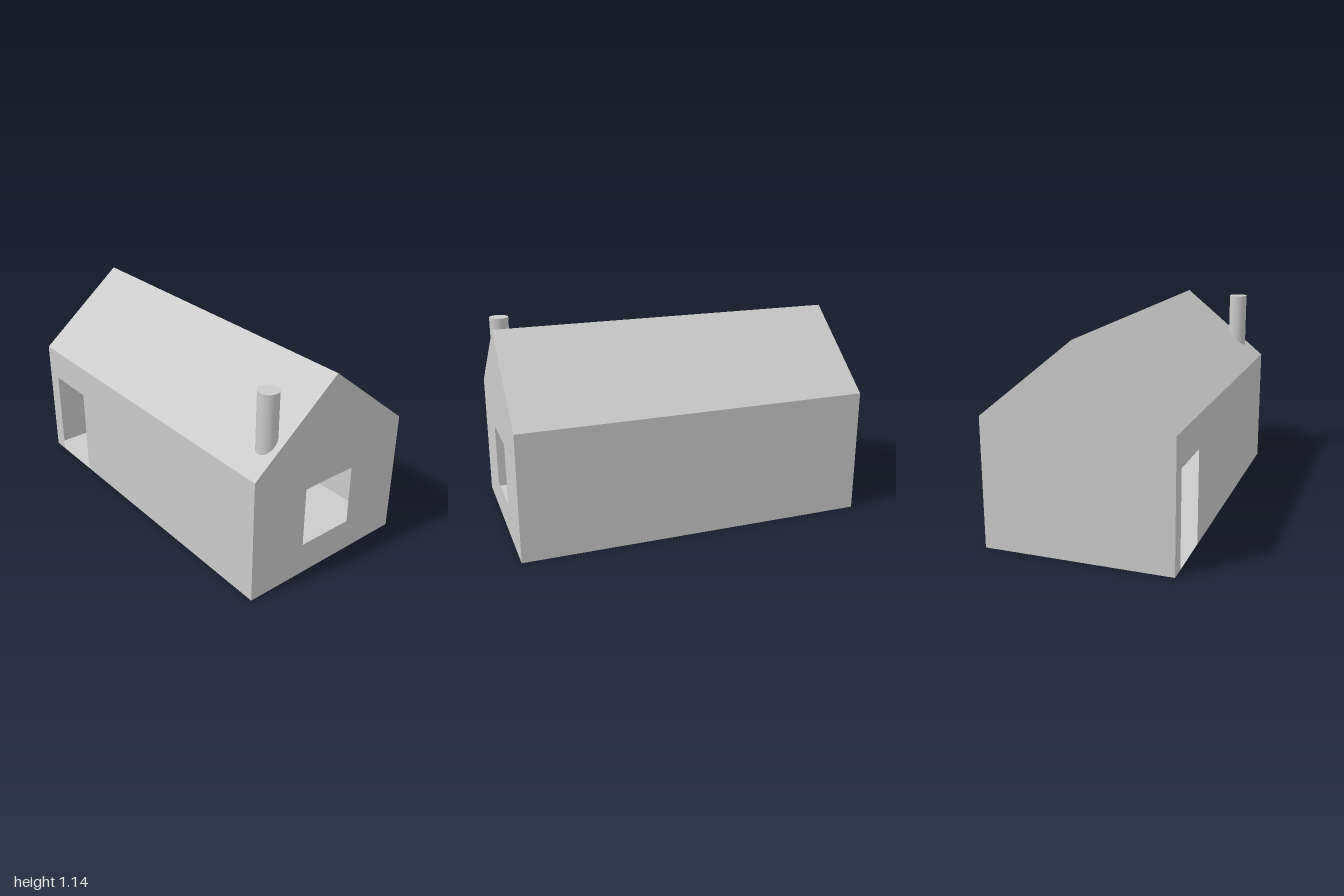
import * as THREE from 'three';

const HALF_LENGTH = 1, HALF_DEPTH = 0.52, EAVE = 0.72, RIDGE = 1.14;

const material = new THREE.MeshStandardMaterial({ color: 0xcccccc, side: THREE.DoubleSide });

const outline = (points) => points.map(([x, y]) => new THREE.Vector2(x, y));

// Thin flat wall from an outline, turned about y and pushed outward to its side
function wall(name, points, turn, distance, hole) {
  const shape = new THREE.Shape(outline(points));
  if (hole) shape.holes.push(new THREE.Path(outline(hole)));
  const geometry = new THREE.ShapeGeometry(shape).translate(0, 0, distance).rotateY(turn);
  const mesh = new THREE.Mesh(geometry, material);
  mesh.name = name;
  return mesh;
}

export function createModel() {
  const house = new THREE.Group();
  house.name = 'house';
  const L = HALF_LENGTH, D = HALF_DEPTH;

  // Long walls, the front one notched for the doorway
  house.add(wall('frontWall', [
    [-L, 0], [-0.91, 0], [-0.91, 0.533], [-0.595, 0.533], [-0.595, 0], [L, 0], [L, EAVE], [-L, EAVE],
  ], 0, D));
  house.add(wall('backWall', [[-L, 0], [L, 0], [L, EAVE], [-L, EAVE]], Math.PI, D));

  // Gable walls, one with a square window
  const gable = [[-D, 0], [D, 0], [D, EAVE], [0, RIDGE], [-D, EAVE]];
  const windowHole = [[-0.167, 0.185], [-0.167, 0.535], [0.167, 0.535], [0.167, 0.185]];
  house.add(wall('windowGable', gable, Math.PI / 2, L, windowHole));
  house.add(wall('plainGable', gable, -Math.PI / 2, L));

  // Floor
  const floor = new THREE.Mesh(new THREE.PlaneGeometry(2 * L, 2 * D).rotateX(-Math.PI / 2), material);
  floor.name = 'floor';
  house.add(floor);

  // Two mirrored roof slopes
  const rise = RIDGE - EAVE;
  for (const [name, turn] of [['frontRoof', 0], ['backRoof', Math.PI]]) {
    const geometry = new THREE.PlaneGeometry(2 * L, Math.hypot(D, rise))
      .rotateX(-Math.atan2(D, rise))
      .translate(0, (EAVE + RIDGE) / 2, D / 2)
      .rotateY(turn);
    const slope = new THREE.Mesh(geometry, material);
    slope.name = name;
    house.add(slope);
  }

  // Round chimney standing in the front slope
  const top = 1.13, bottom = 0.8;
  const chimney = new THREE.Mesh(new THREE.CylinderGeometry(0.055, 0.055, top - bottom, 32), material);
  chimney.name = 'chimney';
  chimney.position.set(0.907, (top + bottom) / 2, 0.367);
  house.add(chimney);

  return house;
}
